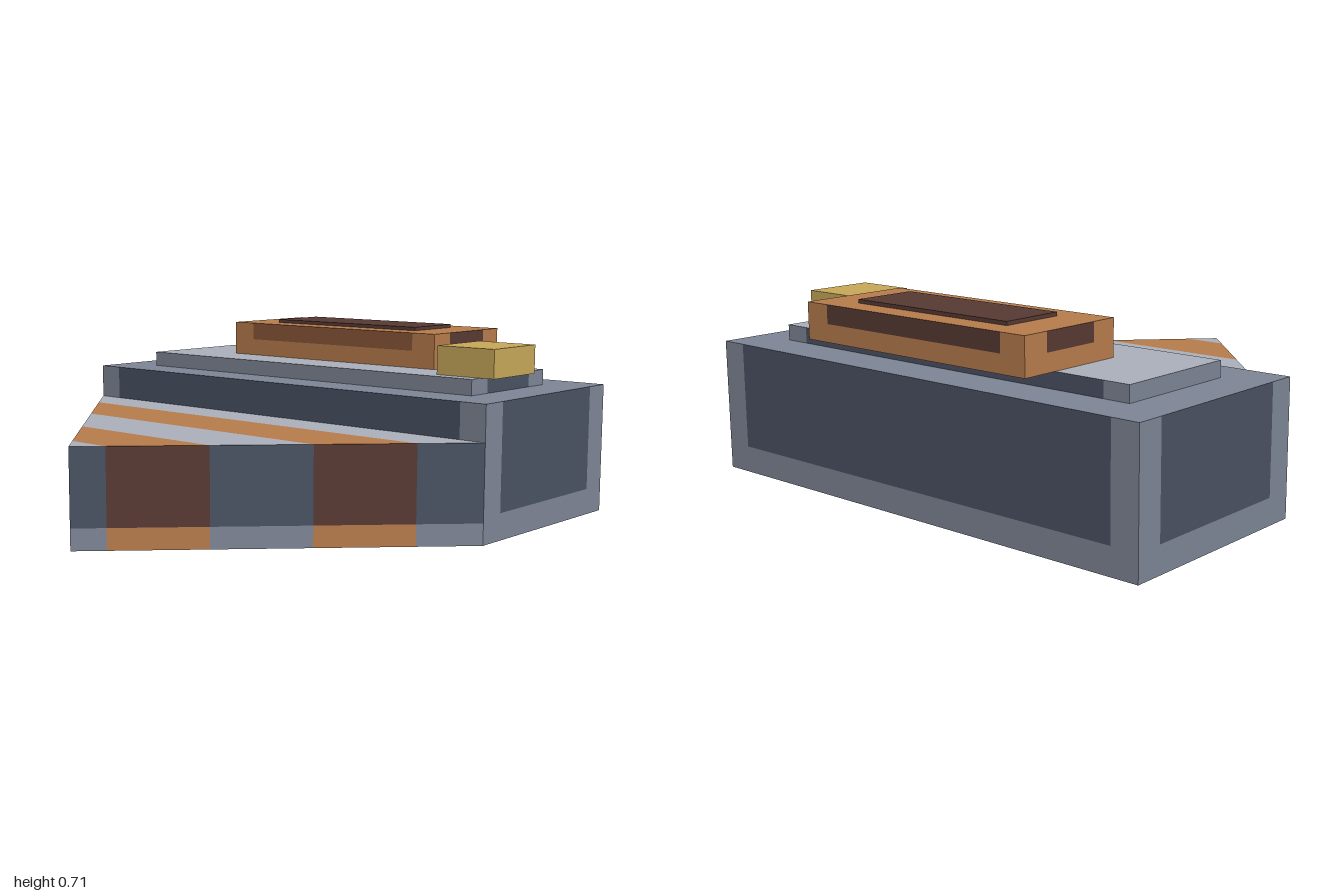
import * as THREE from 'three';

const paint = (name, color) => {
  const m = new THREE.MeshStandardMaterial({ color, side: THREE.DoubleSide });
  m.name = name;
  return m;
};

// Collects flat quads by material and turns them into one mesh with groups
class Shell {
  constructor(name) {
    this.name = name;
    this.faces = new Map();
  }
  quad(mat, a, b, c, d) {
    if (!this.faces.has(mat)) this.faces.set(mat, []);
    this.faces.get(mat).push(...a, ...b, ...c, ...a, ...c, ...d);
  }
  // Upright quad between plan points p and q ([x, z], left to right from outside)
  upright(mat, p, q, y0, y1) {
    this.quad(mat, [p[0], y0, p[1]], [q[0], y0, q[1]], [q[0], y1, q[1]], [p[0], y1, p[1]]);
  }
  // Wall with a border at both ends and below, and a panel reaching its top edge
  wall(frame, panel, p, q, y0, y1, inset, sill) {
    if (!panel) return this.upright(frame, p, q, y0, y1);
    const len = Math.hypot(q[0] - p[0], q[1] - p[1]);
    const at = (d) => [p[0] + (q[0] - p[0]) * d / len, p[1] + (q[1] - p[1]) * d / len];
    const a = at(inset), b = at(len - inset);
    this.upright(frame, p, a, y0, y1);
    this.upright(frame, b, q, y0, y1);
    if (sill > 0) this.upright(frame, a, b, y0, y0 + sill);
    this.upright(panel, a, b, y0 + sill, y1);
  }
  mesh() {
    const geo = new THREE.BufferGeometry();
    const pos = [];
    const mats = [...this.faces.keys()];
    mats.forEach((m, i) => {
      const f = this.faces.get(m);
      geo.addGroup(pos.length / 3, f.length / 3, i);
      for (const v of f) pos.push(v);
    });
    geo.setAttribute('position', new THREE.Float32BufferAttribute(pos, 3));
    geo.computeVertexNormals();
    const mesh = new THREE.Mesh(geo, mats);
    mesh.name = this.name;
    return mesh;
  }
}

// Box open below; panels lists the panel material of front, +x, back and -x walls
function openBox(name, [x0, x1], [y0, y1], [z0, z1], frame, top, panels = [], inset = 0, sill = 0) {
  const s = new Shell(name);
  const plan = [[x0, z1], [x1, z1], [x1, z0], [x0, z0]];
  plan.forEach((p, i) => s.wall(frame, panels[i], p, plan[(i + 1) % 4], y0, y1, inset, sill));
  s.quad(top, [x0, y1, z1], [x1, y1, z1], [x1, y1, z0], [x0, y1, z0]);
  return s.mesh();
}

export function createModel() {
  const steel = paint('steel grey', 0x7f8797);
  const pale = paint('pale grey', 0xadb1bc);
  const slate = paint('dark slate', 0x4a5263);
  const orange = paint('rust orange', 0xb97d4d);
  const brown = paint('dark brown', 0x583a34);
  const umber = paint('mid brown', 0x8b5737);
  const gold = paint('dull gold', 0xc9a95a);

  const model = new THREE.Group();
  model.name = 'model';

  // Main hull with recessed-looking dark panels on all four walls
  model.add(openBox('hull', [-1, 1], [0, 0.5], [-0.93, -0.1], steel, steel,
    [slate, slate, slate, slate], 0.107, 0.1));

  // Low deck on the hull
  model.add(openBox('deck', [-0.83, 0.83], [0.5, 0.56], [-0.76, -0.265], steel, pale,
    [null, slate, slate, null], 0.104, 0));

  // Cabin and its roof hatch
  model.add(openBox('cabin', [-0.527, 0.527], [0.56, 0.697], [-0.904, -0.46], orange, orange,
    [umber, brown, brown, brown], 0.105, 0.067));
  model.add(openBox('roofHatch', [-0.362, 0.362], [0.697, 0.711], [-0.808, -0.56], brown, brown));

  // Side block
  model.add(openBox('sideBlock', [0.638, 0.888], [0.56, 0.669], [-0.6, -0.32], gold, gold));

  // Pointed bow: stripes run across the top and down both flanks
  const bow = new Shell('bow');
  const tip = 0.93, back = -0.1, h = 0.365, sill = 0.08;
  const half = (z) => (tip - z) / (tip - back);
  const cuts = [back, 0.07, 0.328, 0.585, 0.84, tip];
  for (let i = 0; i < cuts.length - 1; i++) {
    const za = cuts[i], zb = cuts[i + 1], a = half(za), b = half(zb);
    const striped = i % 2 === 1;
    bow.quad(striped ? orange : pale, [-b, h, zb], [b, h, zb], [a, h, za], [-a, h, za]);
    const low = striped ? orange : steel;
    bow.upright(low, [-a, za], [-b, zb], 0, sill);
    bow.upright(low, [b, zb], [a, za], 0, sill);
    bow.upright(striped ? orange : pale, [-a, za], [-b, zb], sill, h);
    bow.upright(striped ? brown : slate, [b, zb], [a, za], sill, h);
  }
  // Drop the zero-area triangle's effect at the tip by giving it the top's normal
  const bowMesh = bow.mesh();
  const n = bowMesh.geometry.attributes.normal, p = bowMesh.geometry.attributes.position;
  for (let i = 0; i < n.count; i += 3) {
    if (p.getY(i) === h && p.getY(i + 1) === h && p.getY(i + 2) === h) {
      for (let k = 0; k < 3; k++) n.setXYZ(i + k, 0, 1, 0);
    }
  }
  model.add(bowMesh);
  return model;
}
